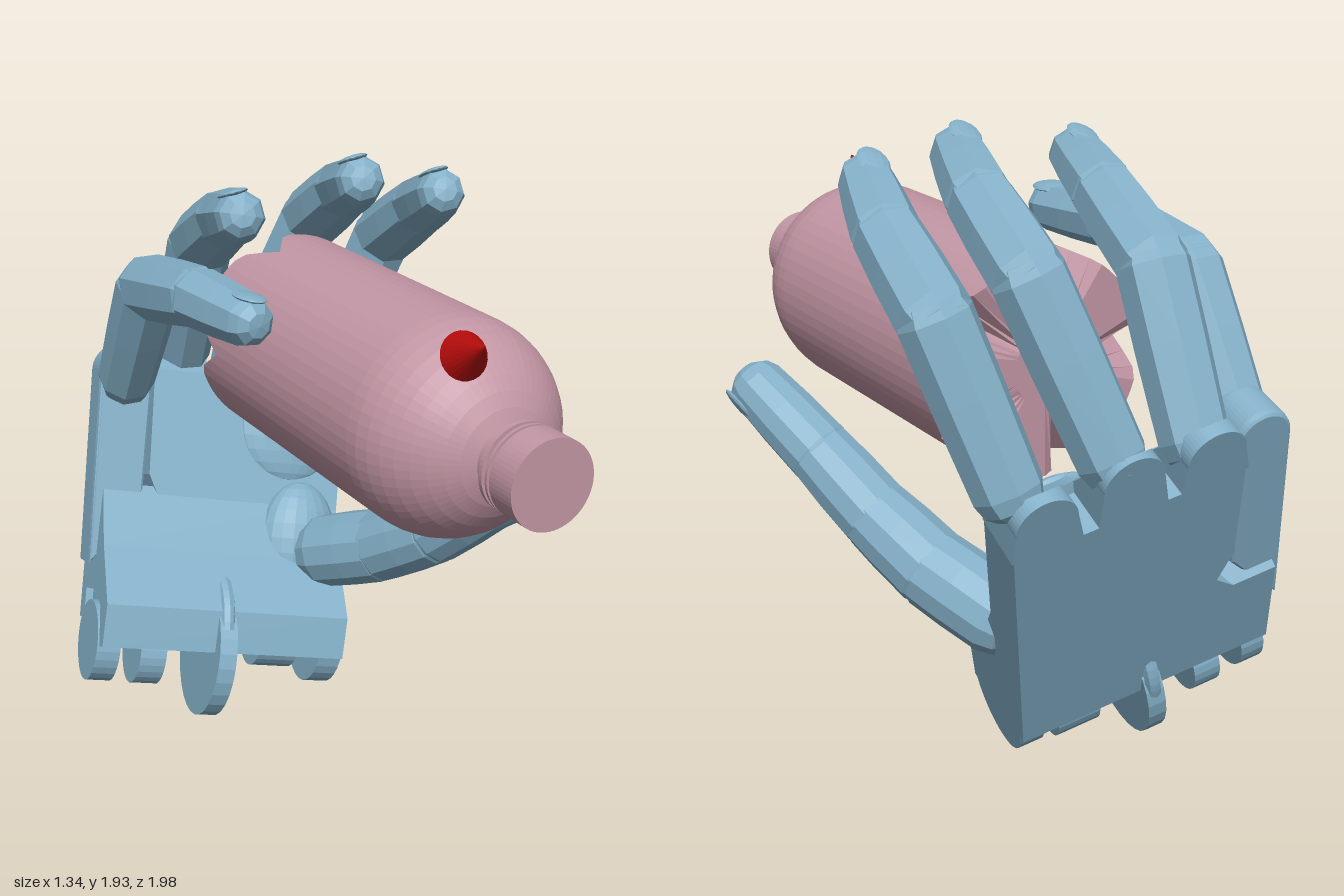
import * as THREE from 'three';

const V = (x, y, z) => new THREE.Vector3(x, y, z);
const paint = (color) => new THREE.MeshStandardMaterial({ color, flatShading: true, side: THREE.DoubleSide });
const BLUE = paint(0x84b0c8), PINK = paint(0xc296a4), RED = paint(0xb80c0c);

function add(parent, name, geometry, material) {
  const mesh = new THREE.Mesh(geometry, material);
  mesh.name = name;
  parent.add(mesh);
  return mesh;
}

// Group standing at p with its y axis towards q and its z axis towards the hint
function alongGroup(p, q, hint) {
  const g = new THREE.Group();
  const y = q.clone().sub(p).normalize();
  const x = y.clone().cross(hint).normalize();
  g.quaternion.setFromRotationMatrix(new THREE.Matrix4().makeBasis(x, y, x.clone().cross(y)));
  g.position.copy(p);
  return g;
}

// Chain of tapered, round-ended segments with a nail on the last one
function digit(name, points, radii, hint, sides = 8) {
  const group = new THREE.Group();
  group.name = name;
  for (let i = 0; i < points.length - 1; i++) {
    const r0 = radii[i], r1 = radii[i + 1], L = points[i].distanceTo(points[i + 1]);
    const seg = alongGroup(points[i], points[i + 1], hint);
    seg.name = name + 'Segment';
    const profile = [[0, -0.75 * r0], [0.55 * r0, -0.65 * r0], [0.85 * r0, -0.4 * r0], [r0, 0.05 * r0],
      [(r0 + r1) * 0.51, L * 0.55], [r1, L], [0.85 * r1, L + 0.4 * r1], [0.5 * r1, L + 0.68 * r1], [0, L + 0.74 * r1]];
    const geo = new THREE.LatheGeometry(profile.map(([r, y]) => new THREE.Vector2(r, y)), sides, Math.PI / sides);
    add(seg, 'phalanx', geo, BLUE);
    if (i === points.length - 2) {
      const nail = add(seg, 'nail', new THREE.SphereGeometry(1, 12, 8), BLUE);
      nail.scale.set(0.6 * r1, 0.85 * r1, 0.15 * r1);
      nail.position.set(0, L - 0.2 * r1, 0.88 * r1);
    }
    group.add(seg);
  }
  return group;
}

// Side profile (depth, height) drawn out across the palm from x0 to x1
function acrossPalm(points, x0, x1) {
  const shape = new THREE.Shape(points.map(([c, b]) => new THREE.Vector2(c, b)));
  return new THREE.ExtrudeGeometry(shape, { depth: x1 - x0, bevelEnabled: false }).rotateY(-Math.PI / 2).translate(x1, 0, 0);
}

function createPalm() {
  const palm = new THREE.Group();
  palm.name = 'palm';
  // Local axes: x across the knuckles, y towards the fingers, z out of the palm
  const y = V(0.27, 0.9, -0.34).normalize();
  const z = V(0.97, -0.21, 0.16).cross(y).normalize();
  palm.quaternion.setFromRotationMatrix(new THREE.Matrix4().makeBasis(y.clone().cross(z), y, z));
  palm.position.set(-0.28, 0.245, -0.61);

  // Plate, notched beside the little finger bar
  const outline = [[0.5, 0], [0.5, 0.86], [-0.2, 0.86], [-0.19, 0.5], [-0.14, 0.4], [-0.32, 0.22], [-0.32, 0]];
  const plate = new THREE.Shape(outline.map(([a, b]) => new THREE.Vector2(a, b)));
  add(palm, 'palmPlate', new THREE.ExtrudeGeometry(plate, { depth: 0.18, bevelEnabled: false }), BLUE);

  // Knuckle lobes thinning to a wedge at their tips
  for (const [a, top] of [[0.4, 1.045], [0.145, 1.07], [-0.105, 1.04]]) {
    const s = new THREE.Shape();
    s.moveTo(a - 0.105, 0.855);
    s.lineTo(a + 0.105, 0.855);
    s.absarc(a, top - 0.09, 0.09, 0, Math.PI);
    const lobe = new THREE.ExtrudeGeometry(s, { depth: 0.18, bevelEnabled: false, curveSegments: 12 });
    const pos = lobe.attributes.position;
    for (let i = 0; i < pos.count; i++) {
      if (pos.getZ(i) > 0.1) pos.setZ(i, 0.02 + (1.07 - pos.getY(i)) * 0.74);
    }
    add(palm, 'knuckleLobe', lobe, BLUE);
  }

  // Little finger bar beside the plate, tilted forward
  const bar = new THREE.Shape();
  bar.moveTo(-0.215, 0.36);
  bar.lineTo(-0.225, 0.8);
  bar.absarc(-0.305, 0.8, 0.08, 0, Math.PI);
  bar.lineTo(-0.36, 0.16);
  const barMesh = add(palm, 'littleFingerBar', new THREE.ExtrudeGeometry(bar, {
    depth: 0.11, bevelEnabled: true, bevelSize: 0.01, bevelThickness: 0.02, bevelSegments: 2 }), BLUE);
  barMesh.position.set(0, 0.05, 0.01);
  barMesh.rotation.x = 0.1;

  // Hollow wrist cuff with rounded cheeks, hinge lugs and a strap disc
  add(palm, 'wristCuff', acrossPalm([[0, 0], [0, 0.34], [0.17, 0.46], [0.25, 0.25], [0.36, 0.06], [0.34, -0.08],
    [0.3, -0.08], [0.27, 0.05], [0.2, 0.1], [0.06, 0.1], [0.06, 0]], -0.345, 0.5), BLUE);
  const wheels = [
    ['thumbSideCheek', 0.46, 0.08, -0.01, 0.18, 0.16], ['littleSideCheek', -0.305, 0.08, -0.07, 0.14, 0.135],
    ['hingeLug', -0.14, 0.09, -0.09, 0.12, 0.12], ['hingeLug', 0.31, 0.14, -0.01, 0.12, 0.12],
    ['strapDisc', 0.07, 0.06, -0.08, 0.17, 0.225]];
  for (const [name, a, width, b, c, r] of wheels) {
    const w = add(palm, name, new THREE.CylinderGeometry(r, r, width, 28).rotateZ(Math.PI / 2), BLUE);
    w.position.set(a, b, c);
  }
  // Upper arc of the strap showing through the ramp
  const arc = add(palm, 'strapArc', new THREE.TorusGeometry(0.19, 0.025, 8, 24, Math.PI).rotateY(Math.PI / 2), BLUE);
  arc.position.set(0.07, 0, 0.17);
  // Soft pads under the index finger and at the thumb root
  for (const [name, p, r] of [['indexPad', [0.31, 0.72, 0.17], [0.19, 0.2, 0.045]], ['thumbPad', [0.36, 0.32, 0.18], [0.14, 0.2, 0.09]]]) {
    const pad = add(palm, name, new THREE.SphereGeometry(1, 20, 12), BLUE);
    pad.position.set(...p);
    pad.scale.set(...r);
  }
  return palm;
}

function createBottle() {
  const bottle = new THREE.Group();
  bottle.name = 'bottle';
  const profile = [[0, -0.49], [0.1, -0.49], [0.325, -0.49], [0.325, -0.36]];
  for (let i = 0; i <= 9; i++) {
    const t = (i / 9) * 1.26;
    profile.push([0.325 * Math.cos(t), 0.49 + 0.325 * Math.sin(t)]);
  }
  profile.push([0.1, 0.85], [0.13, 0.85], [0.13, 0.865], [0.1, 0.865], [0.1, 0.88], [0.13, 0.88], [0.13, 0.89],
    [0.115, 0.89], [0.115, 0.9], [0.13, 0.9], [0.13, 1], [0, 1]);
  const start = THREE.MathUtils.degToRad(53);
  const geo = new THREE.LatheGeometry(profile.map(([r, y]) => new THREE.Vector2(r, y)), 60, start);
  // Five wedge notches cut into the foot
  const pos = geo.attributes.position, step = Math.PI * 0.4;
  for (let i = 0; i < pos.count; i++) {
    const x = pos.getX(i), z = pos.getZ(i), r = Math.hypot(x, z);
    if (pos.getY(i) > -0.48 || r < 0.12) continue;
    const turn = (Math.atan2(x, z) - start) / step;
    const off = Math.abs(turn - Math.round(turn)) * 72;
    pos.setY(i, -0.49 + 0.13 * Math.max(0, 1 - off / 14));
  }
  geo.rotateX(Math.PI / 2);
  add(bottle, 'bottleBody', geo, PINK);
  bottle.position.set(0.115, 1.285, 0);
  return bottle;
}

// Small pointer: a cone on a short stem
function createPointer() {
  const g = alongGroup(V(0.02, 1.565, 0.71), V(0.0, 1.63, 0.84), V(0, 1, 0));
  g.name = 'pointer';
  add(g, 'pointerCone', new THREE.ConeGeometry(0.068, 0.145, 24), RED).position.y = 0.0725;
  add(g, 'pointerStem', new THREE.CylinderGeometry(0.03, 0.03, 0.08, 16), RED).position.y = -0.03;
  return g;
}

export function createModel() {
  const model = new THREE.Group();
  model.name = 'handHoldingBottle';
  model.add(createPalm(), createBottle(), createPointer());

  const back = V(0, 0.7, -0.7), r = [0.1, 0.106, 0.096, 0.078];
  model.add(
    digit('indexFinger', [V(0.41, 1.08, -0.76), V(0.53, 1.53, -0.6), V(0.52, 1.69, -0.34), V(0.46, 1.785, -0.12)], r, back),
    digit('middleFinger', [V(0.14, 1.14, -0.84), V(0.28, 1.61, -0.65), V(0.27, 1.76, -0.4), V(0.2, 1.84, -0.17)], r, back),
    digit('ringFinger', [V(-0.12, 1.14, -0.86), V(-0.13, 1.58, -0.64), V(-0.16, 1.72, -0.37), V(-0.22, 1.785, -0.14)], r, back),
    digit('littleFinger', [V(-0.37, 1.12, -0.74), V(-0.37, 1.5, -0.5), V(-0.37, 1.565, -0.12), V(-0.33, 1.555, 0.14)],
      [0.095, 0.105, 0.092, 0.076], back),
    digit('thumb', [V(0.2, 0.5, -0.4), V(0.3, 0.59, -0.18), V(0.38, 0.71, 0.02), V(0.47, 0.87, 0.2), V(0.565, 1.035, 0.43)],
      [0.125, 0.125, 0.115, 0.105, 0.092], V(0.8, -0.3, 0.3), 12));
  return model;
}
